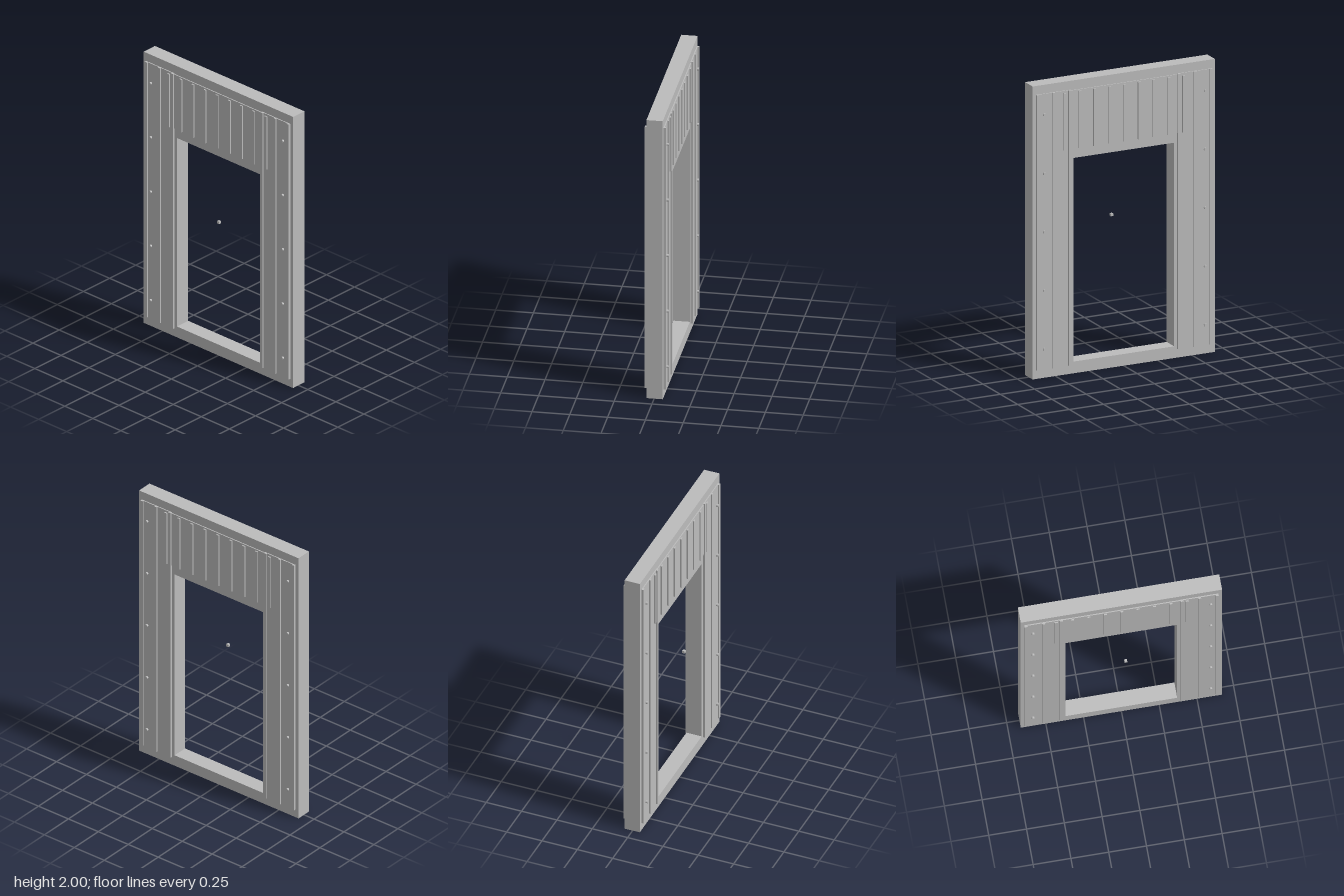
import * as THREE from 'three';

export function createModel() {
  const model = new THREE.Group();
  const grey = new THREE.MeshStandardMaterial({ color: 0xbcbcbc });
  grey.name = 'plain grey';

  const add = (parent, name, geometry, x, y, z) => {
    const mesh = new THREE.Mesh(geometry, grey);
    mesh.name = name;
    mesh.position.set(x, y, z);
    parent.add(mesh);
    return mesh;
  };
  // Box given by its limits along each axis
  const box = (parent, name, x0, x1, y0, y1, z0, z1) =>
    add(parent, name, new THREE.BoxGeometry(x1 - x0, y1 - y0, z1 - z0),
      (x0 + x1) / 2, (y0 + y1) / 2, (z0 + z1) / 2);

  // Everything is built around the middle of the wall, which sits slightly back
  const wall = new THREE.Group();
  wall.name = 'doorwayWall';
  wall.position.z = -0.003;
  model.add(wall);

  // Frame slab with the door opening cut through
  const halfDepth = 0.054;
  const outline = new THREE.Shape([
    new THREE.Vector2(-0.666, 0), new THREE.Vector2(0.666, 0),
    new THREE.Vector2(0.666, 2), new THREE.Vector2(-0.666, 2),
  ]);
  outline.holes.push(new THREE.Path([
    new THREE.Vector2(-0.369, 0.08), new THREE.Vector2(-0.369, 1.47),
    new THREE.Vector2(0.369, 1.47), new THREE.Vector2(0.369, 0.08),
  ]));
  add(wall, 'frame', new THREE.ExtrudeGeometry(outline, { depth: 2 * halfDepth, bevelEnabled: false }),
    0, 0, -halfDepth);

  // Cladding, the same on both faces
  const rivet = new THREE.CylinderGeometry(0.01, 0.01, 0.013, 8).rotateX(Math.PI / 2);
  for (const face of ['front', 'back']) {
    const cladding = new THREE.Group();
    cladding.name = face + 'Cladding';
    if (face === 'back') cladding.rotation.y = Math.PI;
    wall.add(cladding);

    const skin = halfDepth + 0.007;
    const ribTop = halfDepth + 0.016;
    box(cladding, 'headerPanel', -0.395, 0.395, 1.535, 1.935, halfDepth, skin);

    for (const side of [-1, 1]) {
      const a = side * 0.395, b = side * 0.635;
      box(cladding, 'sidePanel', Math.min(a, b), Math.max(a, b), 0.06, 1.94, halfDepth, skin);
      // Full-height ribs
      for (const x of [0.4, 0.516, 0.632]) {
        box(cladding, 'longRib', side * x - 0.01, side * x + 0.01, 0.06, 1.94, halfDepth, ribTop);
      }
      // Column of rivets
      for (let i = 0; i < 5; i++) {
        add(cladding, 'rivet', rivet, side * 0.588, 0.2 + 0.4 * i, 0.0725);
      }
    }
    // Short ribs above the opening
    for (let i = -4; i <= 4; i++) {
      const x = i * 0.1083;
      box(cladding, 'shortRib', x - 0.01, x + 0.01, 1.535, 1.925, halfDepth, ribTop);
    }
  }

  // Small knob in the opening
  box(model, 'knob', 0.016, 0.034, 0.991, 1.009, 0.062, 0.08);

  return model;
}
